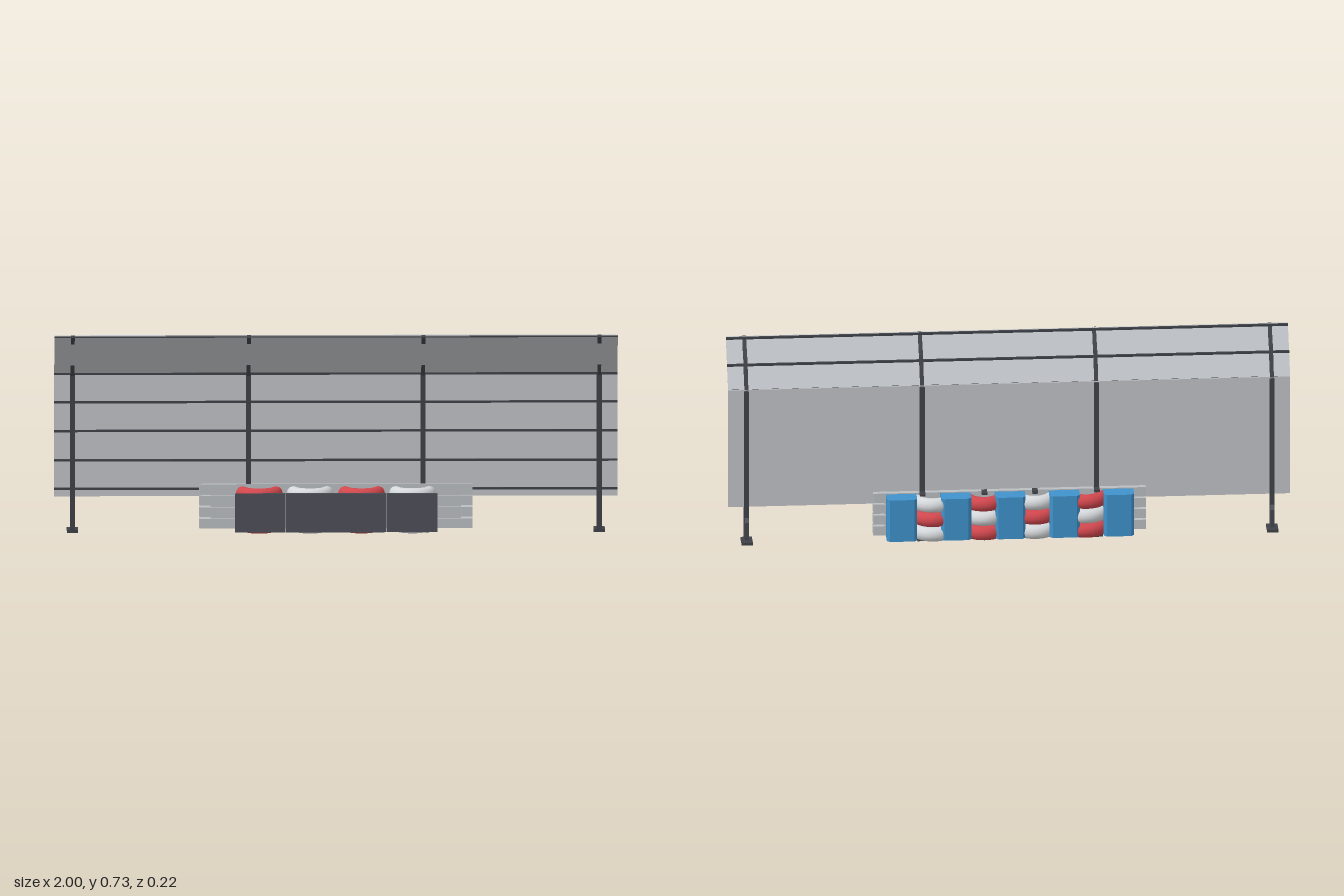
import * as THREE from 'three';

const mat = (name, color, side = THREE.FrontSide) => {
  const m = new THREE.MeshStandardMaterial({ color, side });
  m.name = name;
  return m;
};

export function createModel() {
  const root = new THREE.Group();
  root.name = 'trackBarrier';
  const steel = mat('dark steel', 0x3f4248);
  const slate = mat('slate panel', 0x4e5059);
  const sheet = mat('grey sheet', 0xc0c3c7);
  const galvanised = mat('galvanised rail', 0xbcbfc2);
  const white = mat('white rubber', 0xd6d9dc);
  const red = mat('red rubber', 0xd2484e);
  const blue = mat('blue block', 0x3f92cb);

  const add = (name, geo, material, x = 0, y = 0, z = 0, parent = root) => {
    const m = new THREE.Mesh(geo, material);
    m.name = name;
    m.position.set(x, y, z);
    parent.add(m);
    return m;
  };
  // box given by its limits
  const box = (name, material, x0, x1, y0, y1, z0, z1, parent = root) =>
    add(name, new THREE.BoxGeometry(x1 - x0, y1 - y0, z1 - z0), material,
      (x0 + x1) / 2, (y0 + y1) / 2, (z0 + z1) / 2, parent);
  // straight bar in the z-y plane between two [z, y] points
  const bar = (name, material, width, a, b, thick, x = 0, parent = root) => {
    const dz = b[0] - a[0], dy = b[1] - a[1];
    const m = add(name, new THREE.BoxGeometry(width, Math.hypot(dz, dy), thick), material,
      x, (a[1] + b[1]) / 2, (a[0] + b[0]) / 2, parent);
    m.rotation.x = Math.atan2(dz, dy);
    return m;
  };
  // outline of [z, y] points extruded along x
  const sideExtrude = (points, width) => {
    const s = new THREE.Shape(points.map(([z, y]) => new THREE.Vector2(-z, y)));
    const g = new THREE.ExtrudeGeometry(s, { depth: width, bevelEnabled: false });
    g.translate(0, 0, -width / 2);
    return g.rotateY(Math.PI / 2);
  };

  // posts with H section, base plate, rear brace and cranked arm
  for (const x of [-0.935, -0.31, 0.31, 0.935]) {
    const post = new THREE.Group();
    post.name = 'post';
    post.position.x = x;
    root.add(post);
    box('frontFlange', steel, -0.009, 0.009, 0.01, 0.572, -0.02, -0.015, post);
    box('web', steel, -0.003, 0.003, 0.01, 0.572, -0.03, -0.02, post);
    box('rearFlange', steel, -0.009, 0.009, 0.01, 0.572, -0.035, -0.03, post);
    box('basePlate', steel, -0.02, 0.02, 0, 0.01, -0.071, -0.01, post);
    add('brace', sideExtrude([[-0.033, 0.092], [-0.065, 0.083], [-0.048, 0.01], [-0.033, 0.01]], 0.014),
      slate, 0, 0, 0, post);
    bar('lowerArm', steel, 0.014, [-0.02, 0.568], [0.031, 0.67], 0.013, 0, post);
    bar('upperArm', steel, 0.014, [0.029, 0.665], [0.106, 0.729], 0.011, 0, post);
  }

  // upright sheet, sloping canopy and their rails
  box('fenceSheet', sheet, -1, 1, 0.13, 0.575, -0.025, -0.021);
  bar('canopySheet', sheet, 2, [-0.021, 0.573], [0.1, 0.732], 0.003);
  for (const y of [0.157, 0.26, 0.366, 0.47, 0.572])
    box('fenceRail', steel, -1, 1, y - 0.004, y + 0.004, -0.021, -0.016);
  for (const [z, y] of [[0.028, 0.65], [0.094, 0.727]])
    box('canopyRail', steel, -1, 1, y - 0.004, y + 0.004, z - 0.004, z + 0.004);

  // guard rail planks on a recessed core
  for (let i = 0; i < 4; i++) {
    const y = 0.015 + i * 0.0415;
    box('guardPlank', galvanised, -0.485, 0.485, y, y + 0.035, -0.044, -0.01);
  }
  box('guardCore', galvanised, -0.445, 0.445, 0.018, 0.17, -0.038, -0.016);
  for (const x of [-0.31, -0.09, 0.09, 0.31])
    box('railBracket', steel, x - 0.01, x + 0.01, 0.168, 0.176, -0.066, -0.03);

  // stacked tyres in alternating colours
  const tyreGeo = new THREE.TorusGeometry(0.061, 0.024, 12, 28);
  tyreGeo.scale(1, 1, 1.1).rotateX(Math.PI / 2);
  [-0.272, -0.091, 0.091, 0.272].forEach((x, i) => {
    for (let j = 0; j < 3; j++)
      add('tyre', tyreGeo, (i + j) % 2 ? white : red, x, 0.031 + j * 0.055, -0.025);
  });

  // slate panels in front of the tyres
  for (let i = 0; i < 4; i++) {
    const x = -0.36 + i * 0.18;
    box('frontPanel', slate, x + 0.0005, x + 0.1795, 0.015, 0.155, 0.062, 0.07);
  }

  // blue blocks with chamfered rear edges
  const h = 0.054, c = 0.011;
  const plan = new THREE.Shape([[-h, 0.04], [h, 0.04], [h, 0.094], [h - c, 0.105], [c - h, 0.105], [-h, 0.094]]
    .map(([x, z]) => new THREE.Vector2(x, z)));
  const blockGeo = new THREE.ExtrudeGeometry(plan, { depth: 0.158, bevelEnabled: false });
  blockGeo.rotateX(-Math.PI / 2);
  for (const x of [-0.386, -0.193, 0, 0.193, 0.386])
    add('blueBlock', blockGeo, blue, x, 0.013, 0);

  return root;
}
